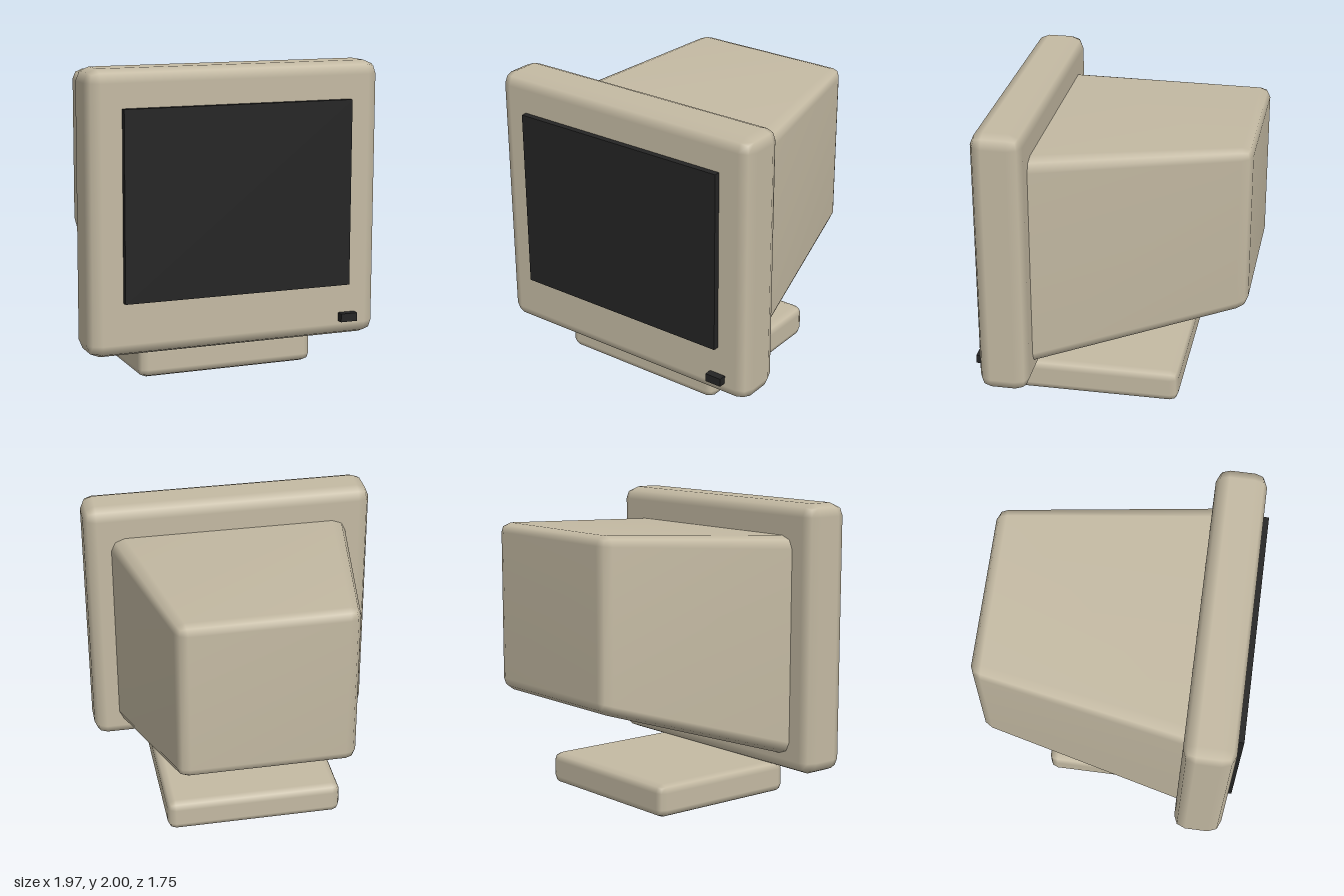
import * as THREE from 'three';
import { RoundedBoxGeometry } from 'three/addons/geometries/RoundedBoxGeometry.js';
import { mergeVertices } from 'three/addons/utils/BufferGeometryUtils.js';

const casing = new THREE.MeshStandardMaterial({ color: 0xc4baa3 });
casing.name = 'beige casing';
const dark = new THREE.MeshStandardMaterial({ color: 0x242424 });
dark.name = 'dark glass';

// Box spanning the given ranges; a radius gives it softened edges
function block(name, material, [x0, x1], [y0, y1], [z0, z1], radius = 0) {
  const size = [x1 - x0, y1 - y0, z1 - z0];
  const geometry = radius
    ? new RoundedBoxGeometry(...size, 1, radius)
    : new THREE.BoxGeometry(...size);
  geometry.translate((x0 + x1) / 2, (y0 + y1) / 2, (z0 + z1) / 2);
  const mesh = new THREE.Mesh(geometry, material);
  mesh.name = name;
  return mesh;
}

// Rounded housing that narrows from its front section to its back section
function taperedHousing() {
  const back = { z: -0.875, halfWidth: 0.572, bottom: 0.75, top: 1.86 };
  const front = { z: 0.6, halfWidth: 0.827, bottom: 0.288, top: 1.78 };
  const depth = front.z - back.z;
  const mesh = block('rearHousing', casing, [-0.6, 0.6], [0, 1.2], [back.z, front.z], 0.07);
  const geometry = mesh.geometry;
  const p = geometry.attributes.position;
  for (let i = 0; i < p.count; i++) {
    const t = (p.getZ(i) - back.z) / depth;
    const mix = (key) => THREE.MathUtils.lerp(back[key], front[key], t);
    p.setX(i, (p.getX(i) / 0.6) * mix('halfWidth'));
    p.setY(i, THREE.MathUtils.lerp(mix('bottom'), mix('top'), p.getY(i) / 1.2));
  }
  // Weld the faces so the edges shade smoothly after tapering
  geometry.deleteAttribute('normal');
  geometry.deleteAttribute('uv');
  geometry.clearGroups();
  mesh.geometry = mergeVertices(geometry);
  mesh.geometry.computeVertexNormals();
  return mesh;
}

export function createModel() {
  const monitor = new THREE.Group();
  monitor.name = 'monitor';
  monitor.add(
    block('bezel', casing, [-0.985, 0.985], [0.2, 2], [0.495, 0.825], 0.085),
    taperedHousing(),
    block('base', casing, [-0.6, 0.6], [0, 0.22], [-0.435, 0.655], 0.055),
    block('screen', dark, [-0.767, 0.767], [0.552, 1.76], [0.78, 0.865]),
    block('powerButton', dark, [0.708, 0.822], [0.307, 0.362], [0.78, 0.875]),
  );
  return monitor;
}
